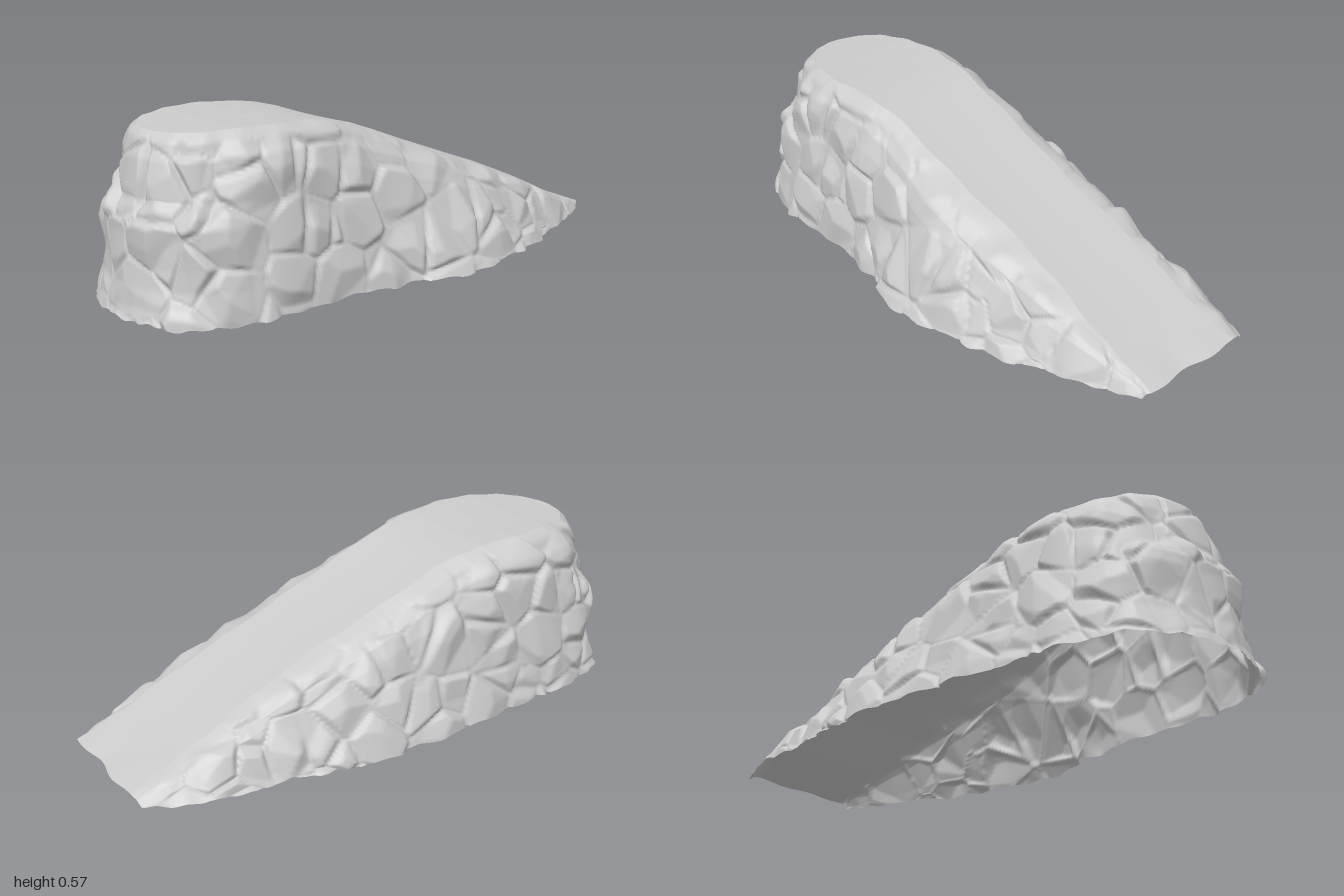
import * as THREE from 'three';

// Repeatable pseudo-random number in 0..1 for a lattice cell
function rnd(x, y, z, k) {
  let h = Math.imul(x, 374761393) ^ Math.imul(y, 668265263) ^ Math.imul(z, 2147483647) ^ Math.imul(k + 11, 1274126177);
  h = Math.imul(h ^ (h >>> 13), 1274126177);
  h = Math.imul(h ^ (h >>> 16), 461845907);
  return ((h ^ (h >>> 15)) >>> 0) / 4294967296;
}

// Linear lookup in a table of [position, value]
function lookup(table, v) {
  if (v <= table[0][0]) return table[0][1];
  for (let i = 1; i < table.length; i++) {
    const [a, p] = table[i - 1], [b, q] = table[i];
    if (v <= b) return p + (q - p) * (v - a) / (b - a);
  }
  return table[table.length - 1][1];
}

// Outlines [x, z] run from the back on -x, round the front, to the back on +x
const curve = (pts) => new THREE.CatmullRomCurve3(pts.map(([x, z]) => new THREE.Vector3(x, 0, z)));
const FOOT = curve([
  [-0.27, -0.98], [-0.355, -0.8], [-0.39, -0.55], [-0.45, -0.2], [-0.44, 0.1], [-0.42, 0.4],
  [-0.405, 0.68], [-0.33, 0.87], [-0.18, 0.975], [-0.02, 1.003], [0.13, 0.98], [0.26, 0.895],
  [0.34, 0.7], [0.35, 0.4], [0.385, 0.15], [0.455, -0.12], [0.39, -0.5], [0.29, -0.8], [0.22, -0.97],
]);
const RIM = curve([
  [-0.21, -0.99], [-0.2, -0.8], [-0.195, -0.55], [-0.195, -0.2], [-0.21, 0.1], [-0.24, 0.4],
  [-0.245, 0.6], [-0.21, 0.74], [-0.13, 0.82], [-0.03, 0.845], [0.06, 0.82], [0.14, 0.74],
  [0.19, 0.6], [0.185, 0.4], [0.175, 0.1], [0.17, -0.2], [0.175, -0.55], [0.185, -0.8], [0.2, -0.99],
]);
// Rim with a slight waver where the stones meet the walkway
function rimAt(u) {
  const p = RIM.getPoint(u);
  p.x += 0.008 * Math.sin(u * 97) * Math.cos(u * 41);
  return p;
}
const HEIGHT = [
  [-1, 0.04], [-0.8, 0.118], [-0.6, 0.215], [-0.4, 0.3], [-0.2, 0.375], [0, 0.452],
  [0.1, 0.492], [0.2, 0.53], [0.28, 0.552], [0.37, 0.567], [0.5, 0.577], [0.65, 0.58], [0.85, 0.57],
];
// Wall profiles: share of the height -> share of the way in from foot to rim
const SIDE = [[0, 0], [0.25, 0.14], [0.5, 0.29], [0.75, 0.44], [0.88, 0.56], [0.96, 0.76], [1, 1]];
const FRONT = [[0, 0], [0.18, 0.2], [0.3, 0.23], [0.52, 0.23], [0.58, 0.34], [0.64, 0.55], [0.86, 0.68], [0.96, 0.84], [1, 1]];

// Height of a faceted stone bump at a point, with creases between stones
const CELL = 0.16;
function stone(p) {
  const c = [p.x, p.y, p.z].map((v) => Math.floor(v / CELL));
  let f1 = 9, f2 = 9, best = null;
  for (let x = c[0] - 1; x <= c[0] + 1; x++)
    for (let y = c[1] - 1; y <= c[1] + 1; y++)
      for (let z = c[2] - 1; z <= c[2] + 1; z++) {
        const s = [x + rnd(x, y, z, 0), y + rnd(x, y, z, 1), z + rnd(x, y, z, 2)].map((v) => v * CELL);
        const d = Math.hypot(p.x - s[0], p.y - s[1], p.z - s[2]);
        if (d < f1) { f2 = f1; f1 = d; best = { s, id: [x, y, z] }; }
        else if (d < f2) f2 = d;
      }
  let h = 0.032;
  for (let k = 0; k < 6; k++) {
    const n = [0, 1, 2].map((a) => rnd(...best.id, 3 + k * 3 + a) - 0.5);
    h = Math.min(h, 0.032 - 0.55 * (n[0] * (p.x - best.s[0]) + n[1] * (p.y - best.s[1]) + n[2] * (p.z - best.s[2])));
  }
  return Math.min(Math.max(h, 0.008), 0.003 + (f2 - f1) * 0.8);
}

// Surface grid from a point rule
function grid(nu, nv, rule) {
  const pos = [], idx = [];
  for (let i = 0; i <= nu; i++)
    for (let j = 0; j <= nv; j++) pos.push(...rule(i / nu, j / nv));
  for (let i = 0; i < nu; i++)
    for (let j = 0; j < nv; j++) {
      const a = i * (nv + 1) + j, b = a + nv + 1;
      idx.push(a, b, a + 1, b, b + 1, a + 1);
    }
  const g = new THREE.BufferGeometry();
  g.setAttribute('position', new THREE.Float32BufferAttribute(pos, 3));
  g.setIndex(idx);
  g.computeVertexNormals();
  return g;
}

export function createModel() {
  const group = new THREE.Group();
  group.name = 'stoneRamp';
  const material = new THREE.MeshStandardMaterial({ color: 0xcccccc, side: THREE.DoubleSide });
  const add = (name, geometry) => {
    const mesh = new THREE.Mesh(geometry, material);
    mesh.name = name;
    group.add(mesh);
  };

  // Wall of piled stones, open underneath, with a ledge halfway up the front
  const NU = 560, NV = 64;
  const wall = grid(NU, NV, (u, v) => {
    const foot = FOOT.getPoint(u), rim = rimAt(u);
    const t = THREE.MathUtils.lerp(lookup(SIDE, v), lookup(FRONT, v), THREE.MathUtils.smoothstep(foot.z, 0.65, 0.95));
    const x = foot.x + (rim.x - foot.x) * t, z = foot.z + (rim.z - foot.z) * t;
    const base = 0.012 + 0.006 * Math.sin(u * 71) * Math.sin(u * 173) + 0.012 * Math.max(0, -z - 0.3);
    return [x, base + (lookup(HEIGHT, rim.z) - base) * v, z];
  });
  const pos = wall.attributes.position, nor = wall.attributes.normal;
  const p = new THREE.Vector3(), n = new THREE.Vector3();
  for (let i = 0; i < pos.count; i++) {
    p.fromBufferAttribute(pos, i);
    n.fromBufferAttribute(nor, i);
    const v = (i % (NV + 1)) / NV;
    const fade = Math.min(1, (1 - v) * 12) * Math.min(1, 0.25 + (p.z + 1) * 2.5);
    const d = (stone(p) - 0.018) * fade;
    // The foot keeps its level, so stones there only move sideways
    pos.setXYZ(i, p.x + n.x * d, p.y + n.y * d * Math.min(1, v * 6), p.z + n.z * d);
  }
  wall.computeVertexNormals();
  add('stoneWall', wall);

  // Smooth walkway: level at the front, sloping down to a ragged back edge
  add('walkway', grid(NU / 2, 24, (u, v) => {
    const a = rimAt(u / 2), b = rimAt(1 - u / 2);
    const x = a.x + (b.x - a.x) * v;
    const ragged = 0.012 * Math.sin(v * 9 + 2.5) * Math.sin(Math.PI * v) * Math.max(0, 1 - u * 12);
    const z = a.z + (b.z - a.z) * v + ragged;
    const y = lookup(HEIGHT, a.z) * (1 - v) + lookup(HEIGHT, b.z) * v;
    return [x, y - 0.004 * Math.sin(Math.PI * v) * Math.min(1, (1 - u) * 4), z];
  }));
  return group;
}
